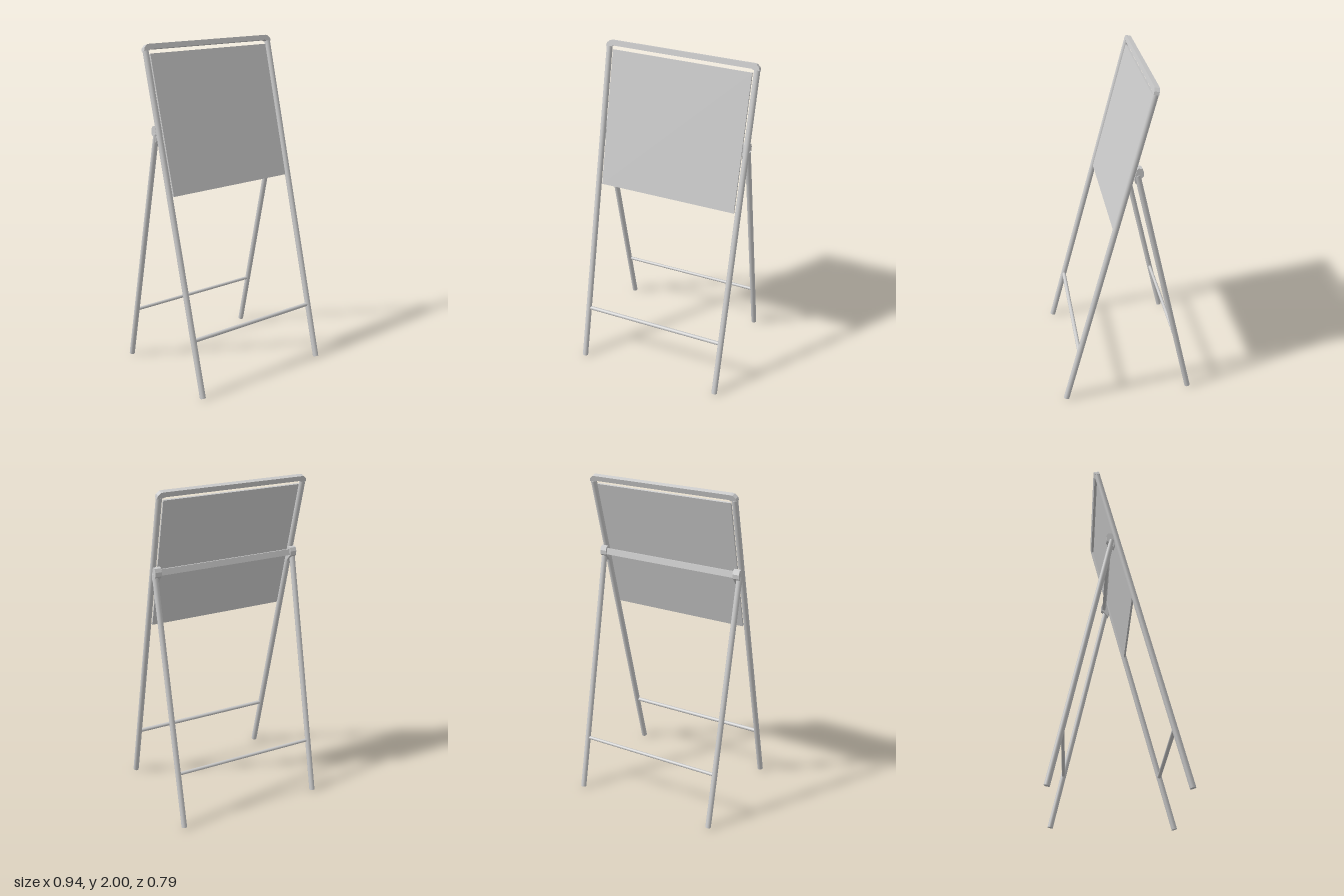
import * as THREE from 'three';

export function createModel() {
  const model = new THREE.Group();
  const mat = new THREE.MeshStandardMaterial({ color: 0xcccccc });
  const R = 0.0175, legX = 0.4525;

  function add(parent, name, geo, x = 0, y = 0, z = 0) {
    const mesh = new THREE.Mesh(geo, mat);
    mesh.name = name;
    mesh.position.set(x, y, z);
    parent.add(mesh);
    return mesh;
  }
  const rod = (r, len) => new THREE.CylinderGeometry(r, r, len, 20);
  const crossRod = (r, len) => rod(r, len).rotateZ(Math.PI / 2);

  // Leaning front frame, built upright and tilted about its feet
  const front = new THREE.Group();
  front.name = 'frontFrame';
  front.position.set(0, 0.005, 0.381);
  front.rotation.x = -0.258;
  model.add(front);
  const top = 2.059, legLen = top - 0.035;
  for (const s of [-1, 1]) add(front, 'frontLeg', rod(R, legLen), s * legX, legLen / 2, 0);
  add(front, 'frontRung', crossRod(0.012, 0.88), 0, 0.341, 0);
  add(front, 'board', new THREE.BoxGeometry(0.855, 0.822, 0.012), 0, 1.594, 0);

  // Flat top rail with mitred corners
  const a = legX + R, b = legX - R;
  const rail = new THREE.Shape([
    [-a, -0.036], [-b, -0.036], [-b + 0.012, -0.03], [b - 0.012, -0.03], [b, -0.036], [a, -0.036],
    [a - 0.005, -0.018], [a - 0.022, -0.002], [a - 0.035, 0],
    [-a + 0.035, 0], [-a + 0.022, -0.002], [-a + 0.005, -0.018],
  ].map(([x, y]) => new THREE.Vector2(x, y)));
  add(front, 'topRail', new THREE.ExtrudeGeometry(rail, { depth: 0.03, bevelEnabled: false }), 0, top, -0.015);

  // Rear prop, leaning the other way
  const rear = new THREE.Group();
  rear.name = 'rearFrame';
  rear.position.set(0, 0.008, -0.379);
  rear.rotation.x = 0.22;
  model.add(rear);
  for (const s of [-1, 1]) add(rear, 'rearLeg', rod(R * 0.95, 1.53), s * legX, 0.765, 0);
  add(rear, 'rearRung', crossRod(0.01, 0.88), 0, 0.335, 0);

  // Hinge brackets joining the two frames
  const bracket = new THREE.Shape([
    [-0.035, 1.45], [-0.026, 1.475], [-0.04, 1.535], [-0.05, 1.545], [-0.07, 1.541], [-0.079, 1.52],
    [-0.078, 1.495], [-0.06, 1.48],
  ].map(([z, y]) => new THREE.Vector2(z, y)));
  const bracketGeo = new THREE.ExtrudeGeometry(bracket, { depth: 0.04, bevelEnabled: false })
    .translate(0, 0, -0.02).rotateY(-Math.PI / 2);
  for (const s of [-1, 1]) add(model, 'hingeBracket', bracketGeo, s * 0.443, 0, 0);

  // Flat bar across the hinges
  add(model, 'hingeBar', new THREE.BoxGeometry(0.86, 0.036, 0.02), 0, 1.512, -0.058).rotation.x = 0.22;

  return model;
}
